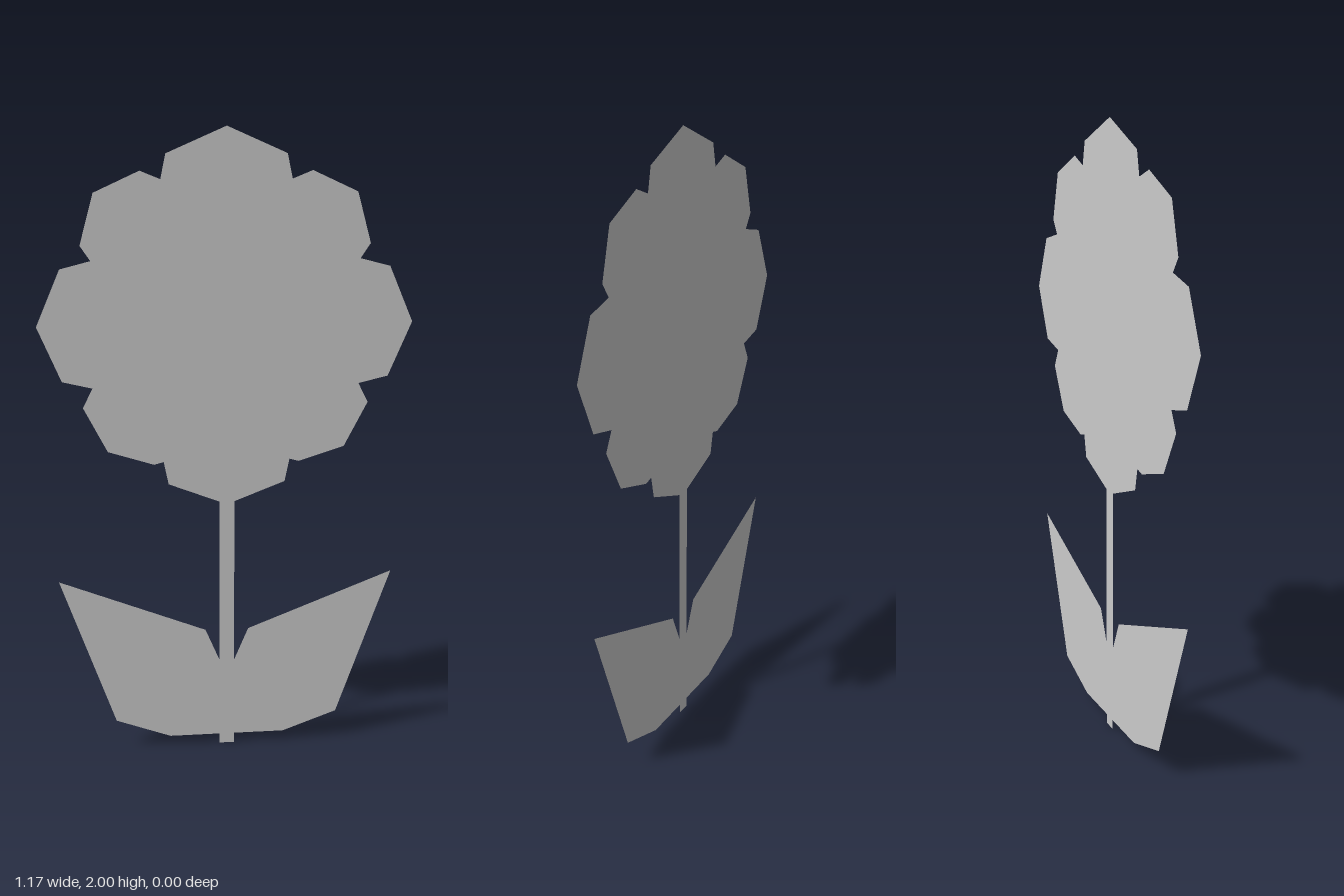
import * as THREE from 'three';

const material = new THREE.MeshStandardMaterial({
  color: 0xcccccc, flatShading: true, side: THREE.DoubleSide,
});

// Flat sheet in the z = 0 plane from a list of corners
function flatPart(name, corners) {
  const shape = new THREE.Shape(corners.map(([x, y]) => new THREE.Vector2(x, y)));
  const mesh = new THREE.Mesh(new THREE.ShapeGeometry(shape), material);
  mesh.name = name;
  return mesh;
}

const mirror = (corners) => corners.map(([x, y]) => [-x, y]);

export function createModel() {
  const group = new THREE.Group();
  group.name = 'flower';
  const stemHalf = 0.024;

  // Flower head: half of the petal outline, top to bottom, mirrored
  const petals = [
    [0.184, 1.92], [0.2, 1.845], [0.262, 1.87], [0.402, 1.806],
    [0.445, 1.65], [0.414, 1.604], [0.508, 1.58], [0.583, 1.406],
    [0.51, 1.235], [0.417, 1.213], [0.448, 1.152], [0.374, 1.01],
    [0.23, 0.965], [0.2, 0.973], [0.185, 0.9],
  ];
  group.add(flatPart('flowerHead', [
    [0, 2], ...petals, [stemHalf, 0.838], [-stemHalf, 0.838], ...mirror(petals).reverse(),
  ]));

  // Stem
  group.add(flatPart('stem', [
    [-stemHalf, 0], [stemHalf, 0], [stemHalf, 0.838], [-stemHalf, 0.838],
  ]));

  // Leaves, joined to the sides of the stem
  const leaf = [
    [stemHalf, 0.033], [0.188, 0.033], [0.365, 0.097],
    [0.539, 0.586], [0.07, 0.404], [stemHalf, 0.296],
  ];
  group.add(flatPart('leftLeaf', leaf), flatPart('rightLeaf', mirror(leaf)));

  return group;
}
